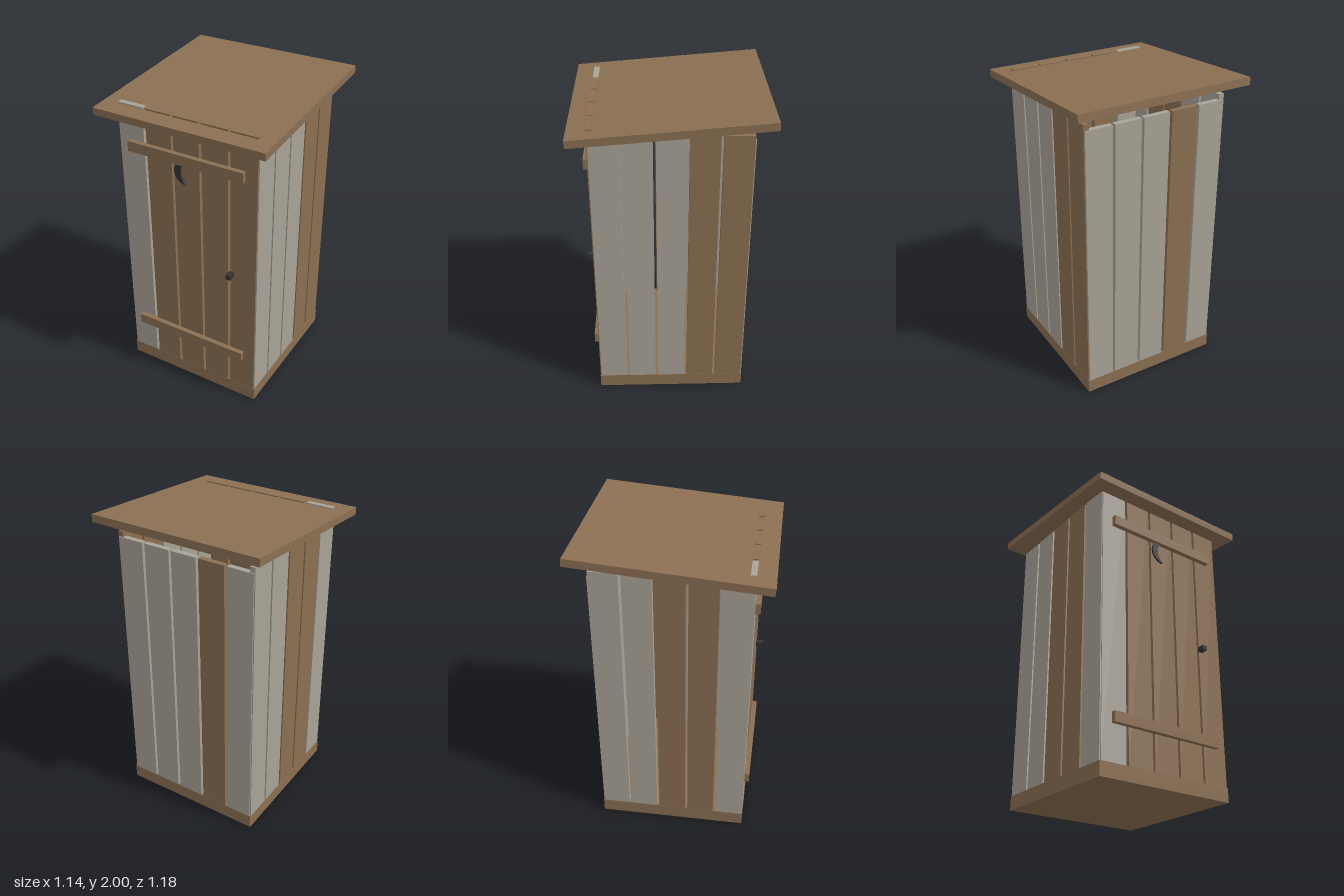
import * as THREE from 'three';

export function createModel() {
  const group = new THREE.Group();
  const brown = new THREE.MeshStandardMaterial({ color: 0x8b6f52 });
  brown.name = 'brownWood';
  const grey = new THREE.MeshStandardMaterial({ color: 0xa9a397 });
  grey.name = 'weatheredGreyWood';
  const dark = new THREE.MeshStandardMaterial({ color: 0x333333 });
  dark.name = 'darkIron';

  const box = (name, mat, w, h, d, x, y, z, parent = group) => {
    const mesh = new THREE.Mesh(new THREE.BoxGeometry(w, h, d), mat);
    mesh.name = name;
    mesh.position.set(x, y, z);
    parent.add(mesh);
    return mesh;
  };

  // Base and sloping roof
  box('base', brown, 0.956, 0.09, 0.956, 0, 0.045, 0);
  box('roof', brown, 1.14, 0.048, 1.176, 0, 1.929, 0).rotation.x = 0.08;

  // Four plank walls; colours run from left to right as seen from outside
  const bottom = 0.09, pitch = 0.1915, thickness = 0.035;
  const walls = [
    ['frontWall', 0, 1.925, 'gbbbb'],
    ['leftWall', Math.PI / 2, 1.88, 'gggbb'],
    ['backWall', Math.PI, 1.845, 'gggbg'],
    ['rightWall', -Math.PI / 2, 1.88, 'ggbbg'],
  ];
  for (const [name, turn, top, colours] of walls) {
    const wall = new THREE.Group();
    wall.name = name;
    wall.rotation.y = turn;
    [...colours].forEach((c, i) => {
      box('plank', c === 'g' ? grey : brown, 0.175, top - bottom, thickness,
        (i - 2) * pitch, (top + bottom) / 2, 0.477 - thickness / 2, wall);
    });
    group.add(wall);
  }

  // Door braces and knob
  for (const y of [0.352, 1.668]) box('doorBrace', brown, 0.79, 0.066, 0.034, -0.002, y, 0.491);
  box('doorKnob', dark, 0.032, 0.032, 0.05, 0.305, 0.969, 0.5);

  // Crescent moon: a wide arc closed by a shallower one
  const moon = new THREE.Shape();
  moon.absarc(0, 0, 0.08, Math.PI / 2, Math.PI * 1.5, false);
  const offset = 0.066, r = Math.hypot(0.08, offset);
  const a = Math.atan2(0.08, offset);
  moon.absarc(offset, 0, r, Math.PI + a, Math.PI - a, true);
  const moonMesh = new THREE.Mesh(
    new THREE.ExtrudeGeometry(moon, { depth: 0.014, bevelEnabled: false, curveSegments: 14 }), dark);
  moonMesh.name = 'crescentMoon';
  moonMesh.position.set(0, 1.582, 0.476);
  group.add(moonMesh);

  return group;
}
